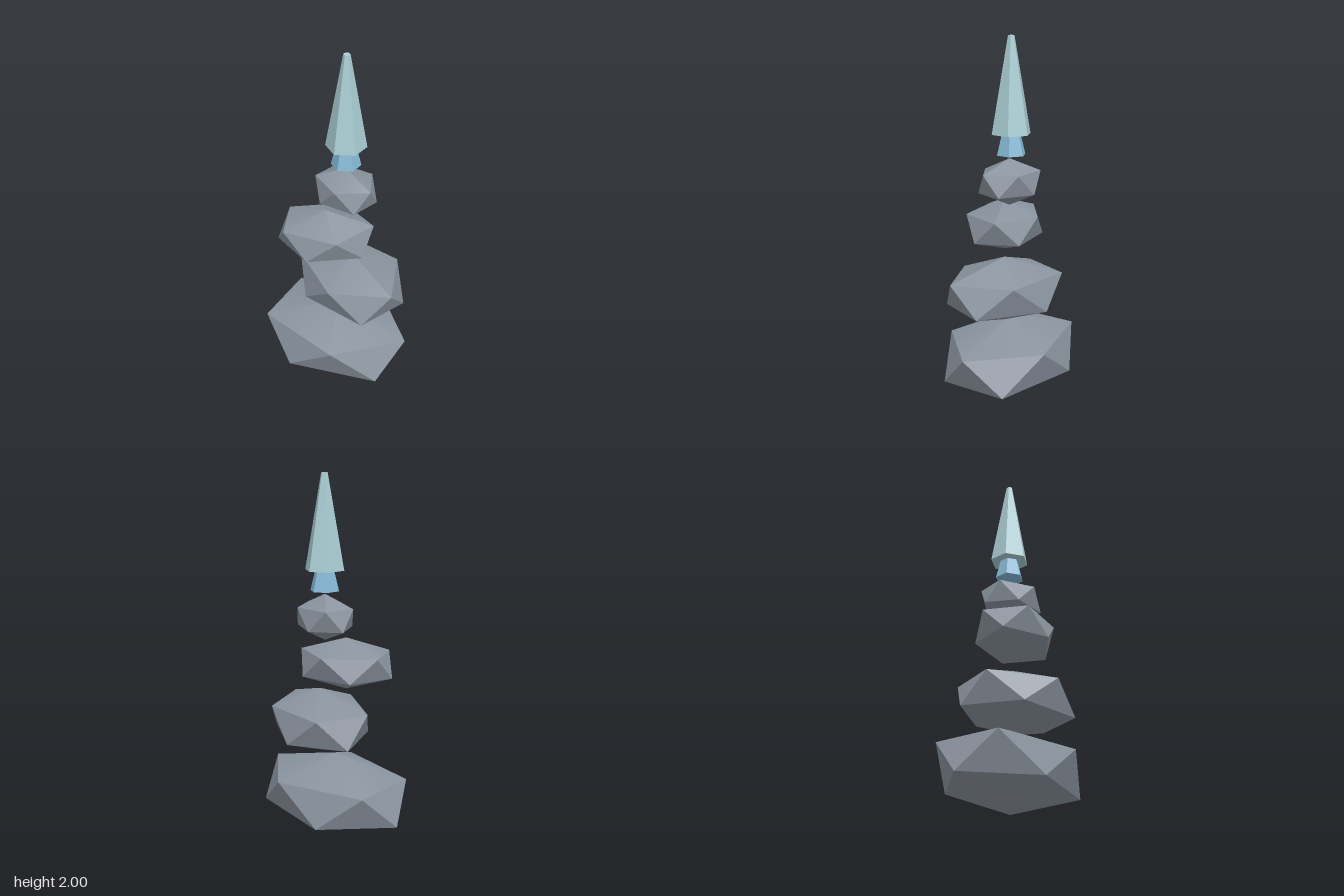
import * as THREE from 'three';
import { toCreasedNormals } from 'three/addons/utils/BufferGeometryUtils.js';

const SIDES = 5;

// A squashed, skewed icosahedron: two poles and two five-point rings.
// p and q are the half-axes [x, z] of the ring ellipse.
function stoneGeometry(halfHeight, p, q) {
  const ringY = halfHeight / Math.sqrt(5);
  const ringPoint = (step, y) => {
    const a = (step / SIDES) * Math.PI * 2;
    return [
      p[0] * Math.cos(a) + q[0] * Math.sin(a),
      y,
      p[1] * Math.cos(a) + q[1] * Math.sin(a),
    ];
  };
  const top = [0, halfHeight, 0];
  const bottom = [0, -halfHeight, 0];
  const positions = [];
  for (let k = 0; k < SIDES; k++) {
    const u0 = ringPoint(k, ringY);
    const u1 = ringPoint(k + 1, ringY);
    const l0 = ringPoint(k + 0.5, -ringY);
    const l1 = ringPoint(k + 1.5, -ringY);
    positions.push(
      ...top, ...u1, ...u0,
      ...u0, ...u1, ...l0,
      ...l0, ...u1, ...l1,
      ...bottom, ...l0, ...l1
    );
  }
  const geometry = new THREE.BufferGeometry();
  geometry.setAttribute('position', new THREE.Float32BufferAttribute(positions, 3));
  // Shallow caps blend softly, steeper facets stay sharp
  return toCreasedNormals(geometry, Math.PI / 6);
}

export function createModel() {
  const group = new THREE.Group();
  const stoneGrey = new THREE.MeshStandardMaterial({ color: 0x8b949f });
  stoneGrey.name = 'stoneGrey';
  const paleCrystal = new THREE.MeshStandardMaterial({ color: 0xa9cdd3 });
  paleCrystal.name = 'paleCrystal';
  const blueCrystal = new THREE.MeshStandardMaterial({ color: 0x86b9d6 });
  blueCrystal.name = 'blueCrystal';

  // Balanced stones, bottom to top
  const stones = [
    { name: 'baseStone', at: [0, 0.225, 0], half: 0.222, p: [0.45, -0.045], q: [0.033, 0.327] },
    { name: 'secondStone', at: [0.085, 0.633, -0.03], half: 0.183, p: [0.33, 0.1], q: [-0.076, 0.251] },
    { name: 'thirdStone', at: [-0.03, 0.965, 0.062], half: 0.146, p: [0.235, -0.123], q: [0.102, 0.182] },
    { name: 'topStone', at: [0.042, 1.228, -0.03], half: 0.128, p: [0.178, 0.033], q: [-0.028, 0.145] },
  ];
  for (const s of stones) {
    const mesh = new THREE.Mesh(stoneGeometry(s.half, s.p, s.q), stoneGrey);
    mesh.name = s.name;
    mesh.position.set(...s.at);
    group.add(mesh);
  }

  // Six-sided crystal pieces
  const addCrystal = (name, rTop, rBottom, y0, y1, material) => {
    const geometry = toCreasedNormals(new THREE.CylinderGeometry(rTop, rBottom, y1 - y0, 6), 0.3);
    const mesh = new THREE.Mesh(geometry, material);
    mesh.name = name;
    mesh.position.set(0.036, (y0 + y1) / 2, -0.037);
    group.add(mesh);
  };
  addCrystal('crystalNeck', 0.053, 0.081, 1.375, 1.488, blueCrystal);
  addCrystal('crystalSpire', 0.018, 0.11, 1.487, 2, paleCrystal);

  return group;
}
